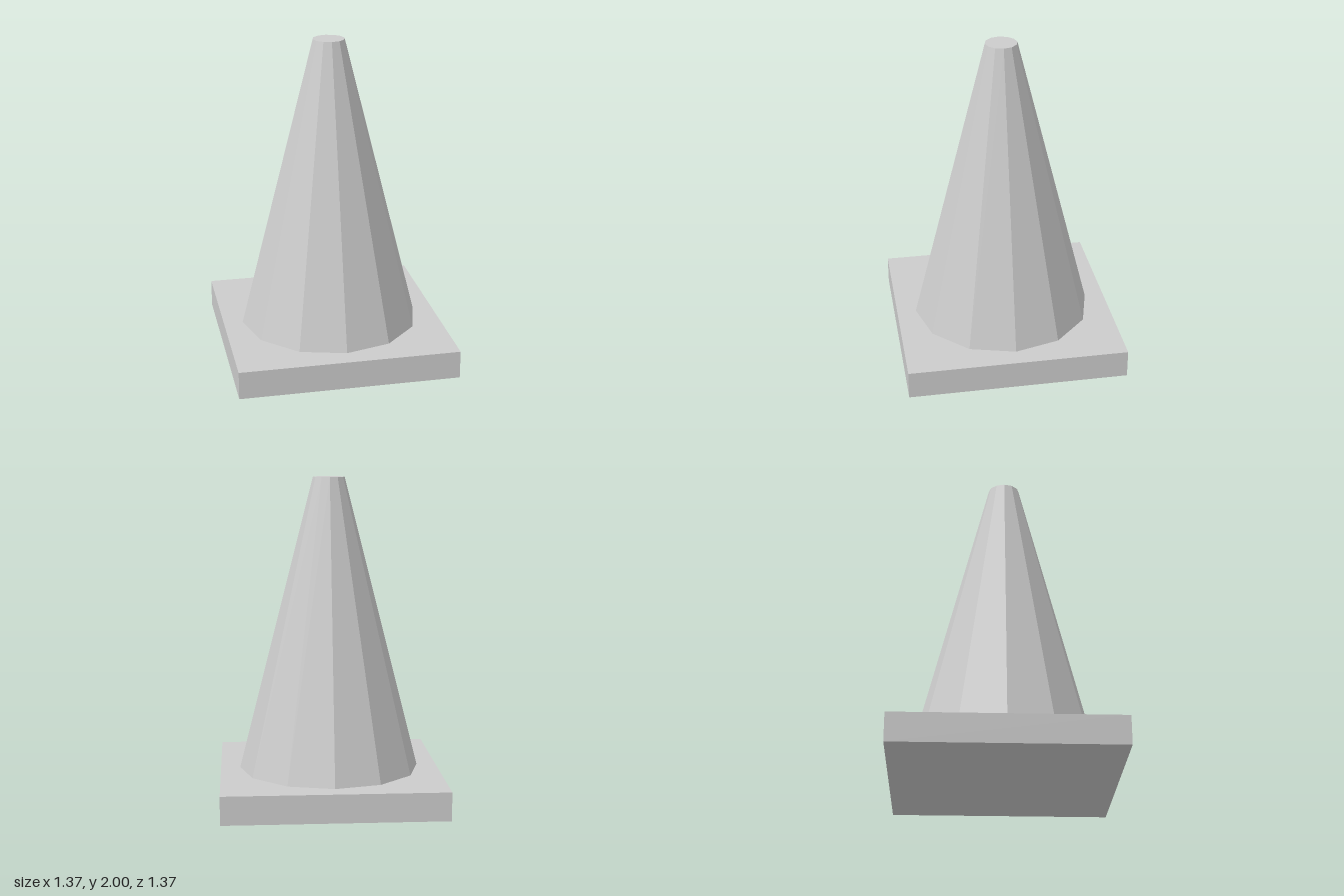
import * as THREE from 'three';

export function createModel() {
  const model = new THREE.Group();
  model.name = 'trafficCone';
  const grey = new THREE.MeshStandardMaterial({ color: 0xcccccc, flatShading: true });
  grey.name = 'light grey';

  const baseHeight = 0.175;
  const coneHeight = 2 - baseHeight;

  // Square foot plate
  const base = new THREE.Mesh(new THREE.BoxGeometry(1.365, baseHeight, 1.365), grey);
  base.name = 'base';
  base.position.y = baseHeight / 2;

  // Twelve-sided tapered body with a flat top
  const cone = new THREE.Mesh(new THREE.CylinderGeometry(0.098, 0.562, coneHeight, 12), grey);
  cone.name = 'cone';
  cone.position.y = baseHeight + coneHeight / 2;

  model.add(base, cone);
  return model;
}
